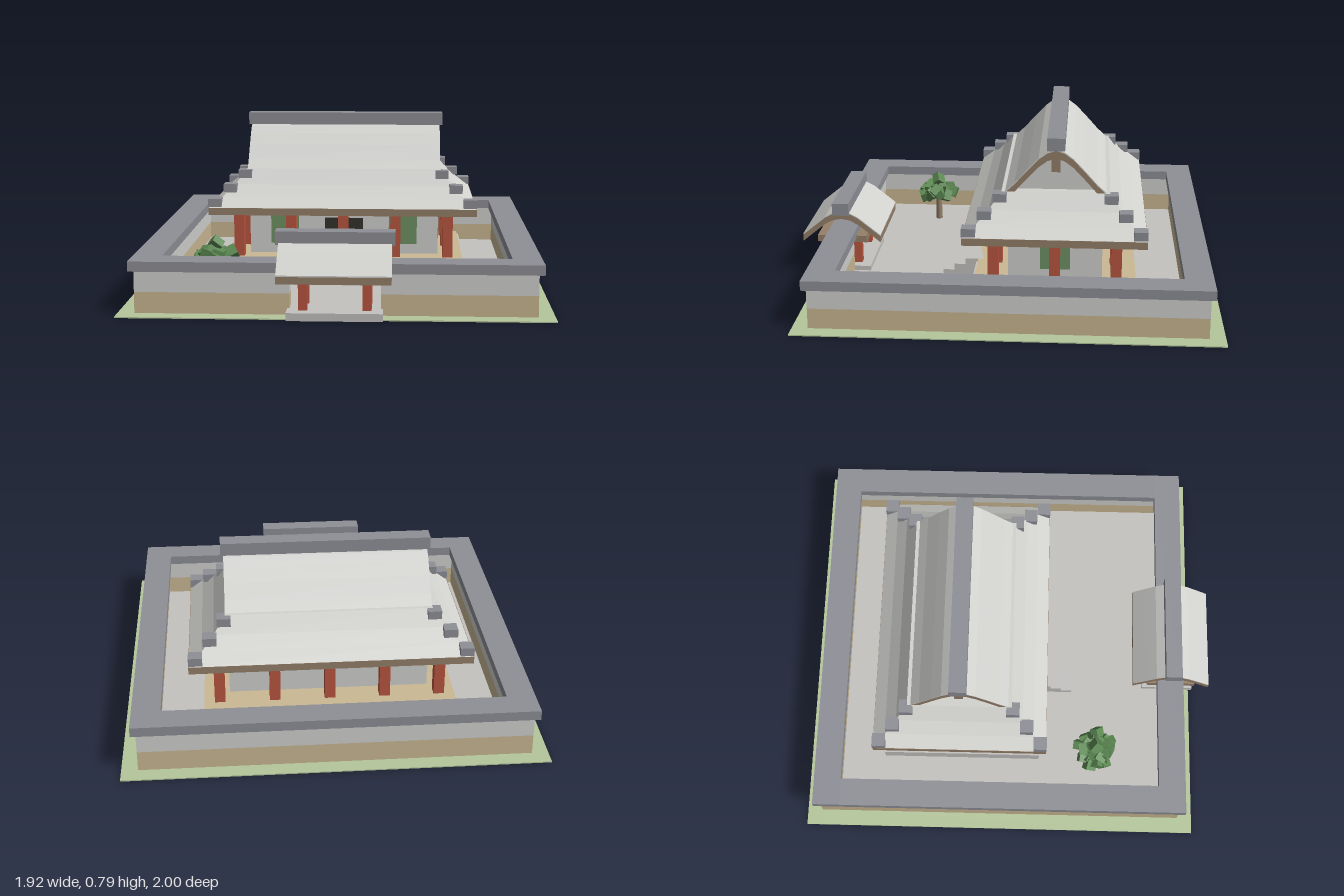
import * as THREE from 'three';

const mat = (name, color, opts = {}) => {
  const m = new THREE.MeshStandardMaterial({ color, ...opts });
  m.name = name;
  return m;
};

export function createModel() {
  const root = new THREE.Group();
  root.name = 'walledHall';
  const grass = mat('grass', 0xb5c79c), slate = mat('slate', 0x8f9097);
  const plaster = mat('plaster', 0xd2d2cf), tan = mat('sand', 0xcbb994);
  const wood = mat('wood', 0x96806a), red = mat('redPaint', 0xbb5640);
  const green = mat('shutterGreen', 0x6f9465), dark = mat('doorDark', 0x36332c);
  const stone = mat('stone', 0xc4c3c0), leaf = mat('leaf', 0x5d8a54);

  const add = (parent, name, geo, m) => {
    const mesh = new THREE.Mesh(geo, m);
    mesh.name = name;
    parent.add(mesh);
    return mesh;
  };
  const group = (name, z = 0) => {
    const g = new THREE.Group();
    g.name = name;
    g.position.z = z;
    root.add(g);
    return g;
  };
  // Box given by its minimum and maximum on each axis
  const box = (parent, name, m, x0, x1, y0, y1, z0, z1) => {
    const mesh = add(parent, name, new THREE.BoxGeometry(x1 - x0, y1 - y0, z1 - z0), m);
    mesh.position.set((x0 + x1) / 2, (y0 + y1) / 2, (z0 + z1) / 2);
    return mesh;
  };
  // Rectangular ring, with an optional gap in the middle of its +z side
  const ring = (parent, name, m, x, z, t, y0, y1, gap = 0) => {
    const i = x - t, j = z - t;
    box(parent, name, m, -x, x, y0, y1, -z, -j);
    for (const s of [-1, 1]) {
      box(parent, name, m, s < 0 ? -x : i, s < 0 ? -i : x, y0, y1, -j, j);
      if (gap) box(parent, name, m, s < 0 ? -x : gap, s < 0 ? -gap : x, y0, y1, j, z);
    }
    if (!gap) box(parent, name, m, -x, x, y0, y1, j, z);
  };
  // Arched slab along x; half profile runs from the ridge to the eave
  const arch = (parent, name, m, half, halfX, top, bottom) => {
    const full = [...half.slice(1).reverse().map(([a, y]) => [-a, y]), ...half];
    const pts = [
      ...full.map(([a, y]) => new THREE.Vector2(a, y + top)),
      ...full.reverse().map(([a, y]) => new THREE.Vector2(a, y + bottom)),
    ];
    const geo = new THREE.ExtrudeGeometry(new THREE.Shape(pts), { depth: halfX * 2, bevelEnabled: false });
    geo.translate(0, 0, -halfX).rotateY(Math.PI / 2);
    add(parent, name, geo, m);
  };

  // Grounds and perimeter wall
  const grounds = group('grounds', -0.04);
  ring(grounds, 'grassBorder', grass, 0.96, 0.963, 0.08, 0, 0.005);
  box(grounds, 'courtyard', stone, -0.8, 0.8, 0, 0.012, -0.81, 0.81);
  ring(grounds, 'wallBase', tan, 0.885, 0.89, 0.09, 0, 0.1, 0.2);
  ring(grounds, 'wallUpper', plaster, 0.885, 0.89, 0.09, 0.1, 0.197, 0.2);
  ring(grounds, 'wallCoping', slate, 0.908, 0.91, 0.131, 0.195, 0.24);

  // Gatehouse
  const gate = group('gate', 0.81);
  box(gate, 'gateStep', stone, -0.21, 0.21, 0, 0.035, -0.13, 0.13);
  for (const s of [-1, 1]) {
    for (const x of [-0.14, 0.14]) box(gate, 'gatePost', red, x - 0.02, x + 0.02, 0.035, 0.175, s * 0.06 - 0.02, s * 0.06 + 0.02);
    box(gate, 'gateBeam', wood, -0.24, 0.24, 0.172, 0.205, s * 0.08 - 0.04, s * 0.08 + 0.04);
    box(gate, 'gateBracket', wood, s * 0.2 - 0.015, s * 0.2 + 0.015, 0.162, 0.19, -0.12, 0.12);
  }
  const gateCurve = [[0, 0.325], [0.04, 0.318], [0.08, 0.297], [0.13, 0.257], [0.19, 0.208]];
  arch(gate, 'gateRoofTimber', wood, gateCurve, 0.247, 0, -0.032);
  arch(gate, 'gateRoof', plaster, gateCurve, 0.247, 0.006, 0);
  box(gate, 'gateRidge', slate, -0.262, 0.262, 0.315, 0.375, -0.04, 0.04);

  // Hall platform and stairs
  const hall = group('hall', -0.238);
  box(hall, 'platform', stone, -0.6, 0.6, 0, 0.085, -0.39, 0.39);
  box(hall, 'deck', tan, -0.59, 0.59, 0.085, 0.1, -0.38, 0.38);
  [0.553, 0.498, 0.443].forEach((z, i) =>
    box(hall, 'stair', stone, -0.24, 0.24, 0, 0.04 + i * 0.03, 0.35, z));

  // Hall walls, doors and shutters
  box(hall, 'hallWalls', plaster, -0.47, 0.47, 0.1, 0.33, -0.22, 0.22);
  box(hall, 'doors', dark, -0.095, 0.095, 0.1, 0.28, 0.22, 0.226);
  for (const s of [-1, 1]) {
    box(hall, 'frontShutter', green, s * 0.295 - 0.07, s * 0.295 + 0.07, 0.15, 0.3, 0.22, 0.226);
    box(hall, 'sideShutter', green, s * 0.473 - 0.003, s * 0.473 + 0.003, 0.15, 0.3, -0.07, 0.07);
  }

  // Columns around the veranda
  for (let i = -2; i <= 2; i++) {
    for (let k = -1; k <= 1; k++) {
      if (k === 0 && Math.abs(i) < 2) continue;
      const x = i * 0.258, z = k * 0.285;
      box(hall, 'column', red, x - 0.025, x + 0.025, 0.1, 0.328, z - 0.025, z + 0.025);
    }
  }
  ring(hall, 'tieBeam', red, 0.545, 0.31, 0.05, 0.308, 0.328);
  box(hall, 'eaves', wood, -0.652, 0.652, 0.325, 0.36, -0.421, 0.421);

  // Hipped skirt roof, lofted from rectangles
  const rows = [[0, 0.36], [0.06, 0.405], [0.115, 0.458], [0.17, 0.53]];
  const corner = ([inset, y], c) => {
    const [sx, sz] = [[-1, 1], [1, 1], [1, -1], [-1, -1]][c % 4];
    return [sx * (0.65 - inset), y, sz * (0.42 - inset)];
  };
  const verts = [];
  for (let r = 0; r < rows.length - 1; r++) {
    for (let c = 0; c < 4; c++) {
      const a = corner(rows[r], c), b = corner(rows[r], c + 1);
      const d = corner(rows[r + 1], c), e = corner(rows[r + 1], c + 1);
      verts.push(...a, ...b, ...e, ...a, ...e, ...d);
    }
  }
  const top = [0, 1, 2, 3].map((c) => corner(rows[3], c));
  verts.push(...top[0], ...top[1], ...top[2], ...top[0], ...top[2], ...top[3]);
  const skirt = new THREE.BufferGeometry();
  skirt.setAttribute('position', new THREE.Float32BufferAttribute(verts, 3));
  skirt.computeVertexNormals();
  add(hall, 'skirtRoof', skirt, plaster);

  // Gabled upper roof
  const curve = [[0, 0.728], [0.04, 0.715], [0.08, 0.685], [0.13, 0.632], [0.19, 0.565], [0.25, 0.508]];
  arch(hall, 'gableTimber', wood, curve, 0.479, 0, -0.036);
  arch(hall, 'upperRoof', plaster, curve, 0.479, 0.006, 0);
  const gable = new THREE.Shape([
    [-0.2, 0.525], [0.2, 0.525], [0.13, 0.61], [0.08, 0.66], [0, 0.7], [-0.08, 0.66], [-0.13, 0.61],
  ].map(([a, y]) => new THREE.Vector2(a, y)));
  const gableGeo = new THREE.ExtrudeGeometry(gable, { depth: 0.86, bevelEnabled: false });
  gableGeo.translate(0, 0, -0.43).rotateY(Math.PI / 2);
  add(hall, 'gableWalls', gableGeo, plaster);
  for (const s of [-1, 1]) box(hall, 'gablePost', wood, s * 0.45 - 0.022, s * 0.45 + 0.022, 0.625, 0.705, -0.02, 0.02);
  box(hall, 'ridge', slate, -0.492, 0.492, 0.73, 0.79, -0.041, 0.041);

  // Stepped ridge tiles on the hips
  for (const sx of [-1, 1]) for (const sz of [-1, 1]) for (let i = 0; i < 3; i++) {
    const x = sx * (0.62 - i * 0.067), z = sz * (0.39 - i * 0.067), y = 0.385 + i * 0.062;
    box(hall, 'hipTile', slate, x - 0.032, x + 0.032, y - 0.02, y + 0.02, z - 0.032, z + 0.032);
  }

  // Garden tree with blocky foliage
  const tree = group('tree', 0.43);
  tree.position.x = -0.58;
  add(tree, 'trunk', new THREE.CylinderGeometry(0.013, 0.018, 0.16, 6), wood).position.y = 0.09;
  let seed = 7;
  const rnd = () => (seed = (seed * 16807) % 2147483647) / 2147483647;
  for (let i = 0; i < 26; i++) {
    const a = i * 2.4, r = 0.08 * Math.sqrt(i / 25);
    const clump = add(tree, 'foliage', new THREE.BoxGeometry(0.055, 0.04, 0.055), leaf);
    clump.position.set(Math.cos(a) * r, 0.235 - r * 0.5 - rnd() * 0.045, Math.sin(a) * r);
    clump.rotation.set(rnd() * 2, rnd() * 3, rnd() * 2);
  }
  return root;
}
